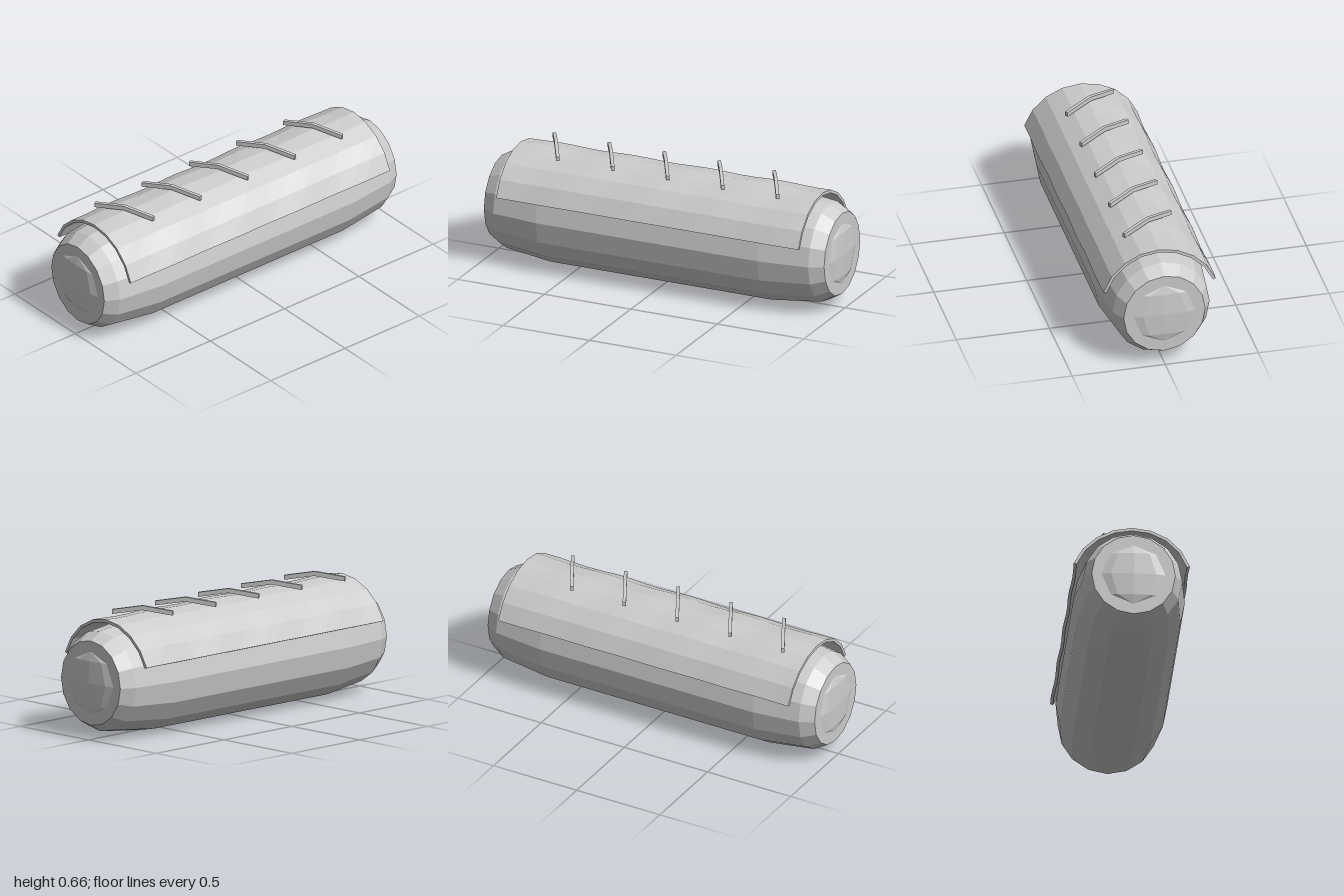
import * as THREE from 'three';

const AXIS_Y = 0.303;

export function createModel() {
  const model = new THREE.Group();
  const grey = new THREE.MeshStandardMaterial({ color: 0xcccccc });
  grey.name = 'lightGrey';

  // adds a faceted mesh
  function add(name, geometry, x = 0, y = 0) {
    const flat = geometry.index ? geometry.toNonIndexed() : geometry;
    flat.computeVertexNormals();
    const mesh = new THREE.Mesh(flat, grey);
    mesh.name = name;
    mesh.position.set(x, y, 0);
    model.add(mesh);
  }

  // moves every vertex by a rule
  function bend(geometry, rule) {
    const p = geometry.attributes.position;
    const v = new THREE.Vector3();
    for (let i = 0; i < p.count; i++) {
      rule(v.fromBufferAttribute(p, i));
      p.setXYZ(i, v.x, v.y, v.z);
    }
    return geometry;
  }

  // main roll: sixteen-sided, tapering at both ends
  const profile = [
    [0, -0.983], [0.225, -0.983], [0.267, -0.91], [0.3, -0.65],
    [0.3, 0.63], [0.267, 0.91], [0.225, 0.983], [0, 0.983],
  ].map(([r, h]) => new THREE.Vector2(r, h));
  const roll = new THREE.LatheGeometry(profile, 16);
  roll.rotateZ(-Math.PI / 2).scale(1, 1, 0.973);
  add('roll', roll, 0, AXIS_Y);

  // shallow bosses on the ends
  for (const side of [-1, 1]) {
    const boss = new THREE.SphereGeometry(0.167, 8, 4).scale(0.1, 1, 1);
    add(side > 0 ? 'leftEndBoss' : 'rightEndBoss', boss, side * 0.983, AXIS_Y);
  }

  // thin rippled cover wrapped over the top; box z becomes the wrap angle
  const cover = bend(new THREE.BoxGeometry(1.745, 0.016, 2.46, 20, 1, 8), (v) => {
    const angle = v.z;
    const r = 0.313 + v.y + 0.003 * Math.sin(15 * v.x + 3 * angle);
    v.y = r * Math.cos(angle);
    v.z = r * Math.sin(angle);
  });
  add('cover', cover, 0, AXIS_Y);

  // five slanted, bent bars along the top
  for (let i = 0; i < 5; i++) {
    const bar = bend(new THREE.BoxGeometry(0.018, 0.024, 0.33, 1, 1, 2), (v) => {
      v.y -= Math.abs(v.z) * (v.z > 0 ? 0.18 : 0.12);
    });
    add('bar' + (i + 1), bar.rotateY(0.5), -0.67 + i * 0.3175, 0.65);
  }

  return model;
}
